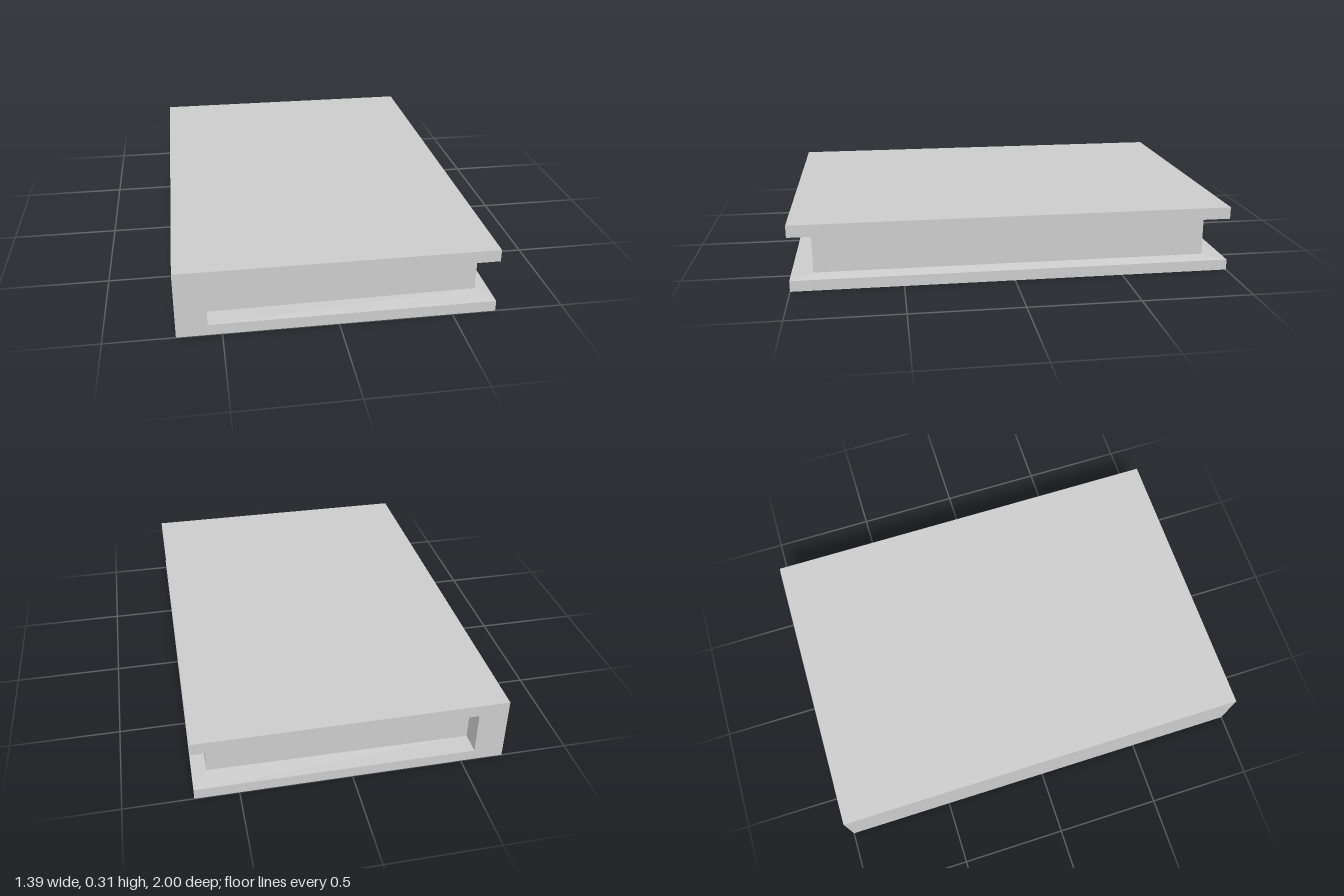
import * as THREE from 'three';

const W = 0.695, H = 0.305, D = 1;      // half width, height, half depth
const SPINE = -0.56, PAGE_X = 0.63, PAGE_Z = 0.9;
const LOW = 0.05, HIGH = H - LOW - 0.005; // inner faces of the two boards
const LIFT = 0.01;                      // thickening of the boards at the fore edge

export function createModel() {
  const book = new THREE.Group();
  book.name = 'book';
  const material = new THREE.MeshStandardMaterial({ color: 0xcccccc, flatShading: true });

  const add = (name, geometry) => {
    const mesh = new THREE.Mesh(geometry, material);
    mesh.name = name;
    book.add(mesh);
  };

  // Box whose corners are placed by a rule on their signs (-1 or 1)
  const block = (name, rule) => {
    const geometry = new THREE.BoxGeometry(2, 2, 2);
    const p = geometry.attributes.position;
    for (let i = 0; i < p.count; i++) p.setXYZ(i, ...rule(p.getX(i), p.getY(i), p.getZ(i)));
    geometry.computeVertexNormals();
    add(name, geometry);
  };

  // Cover: spine and both boards in one C-shaped section
  const section = new THREE.Shape([
    [-W, 0], [W, 0], [W, LOW], [SPINE, LOW],
    [SPINE, HIGH], [W, HIGH], [W, H], [-W, H],
  ].map(([x, y]) => new THREE.Vector2(x, y)));
  const cover = new THREE.ExtrudeGeometry(section, { depth: 2 * D, bevelEnabled: false });
  cover.translate(0, 0, -D);
  add('cover', cover);

  // Sloping linings from the rim of each board in to the pages
  block('lowerLining', (x, y, z) => y < 0
    ? [x < 0 ? SPINE : W, LOW, z * D]
    : [x < 0 ? SPINE : PAGE_X, x < 0 ? LOW : LOW + LIFT, z * PAGE_Z]);
  block('upperLining', (x, y, z) => y > 0
    ? [x < 0 ? SPINE : W, HIGH, z * D]
    : [x < 0 ? SPINE : PAGE_X, x < 0 ? HIGH : HIGH - LIFT, z * PAGE_Z]);

  // Page block, tapering slightly towards the fore edge
  block('pages', (x, y, z) => {
    const lift = x < 0 ? 0 : LIFT;
    return [x < 0 ? SPINE : PAGE_X, y < 0 ? LOW + lift : HIGH - lift, z * PAGE_Z];
  });

  return book;
}
